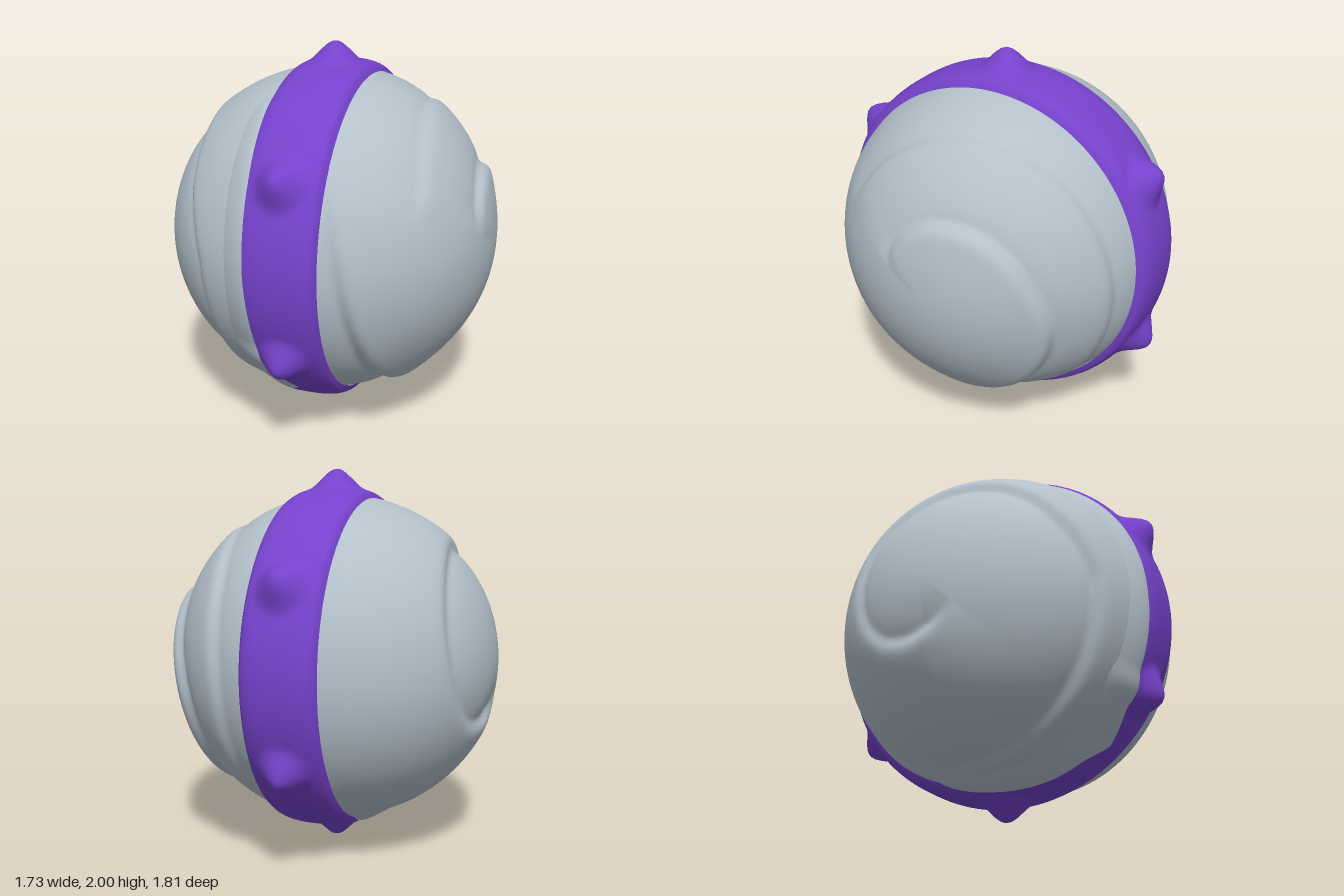
import * as THREE from 'three';
import { mergeVertices } from 'three/addons/utils/BufferGeometryUtils.js';

const DEG = Math.PI / 180;
const { smoothstep, lerp } = THREE.MathUtils;

// Surface over u (towards -x) and v (from +y round towards -z)
function grid(nu, nv, point) {
  const pos = [], index = [];
  for (let i = 0; i <= nu; i++)
    for (let j = 0; j <= nv; j++) pos.push(...point(i / nu, j / nv));
  for (let i = 0; i < nu; i++)
    for (let j = 0; j < nv; j++) {
      const a = i * (nv + 1) + j, b = a + nv + 1;
      index.push(a, a + 1, b, a + 1, b + 1, b);
    }
  const g = new THREE.BufferGeometry();
  g.setAttribute('position', new THREE.Float32BufferAttribute(pos, 3));
  g.setIndex(index);
  const merged = mergeVertices(g, 1e-5);
  merged.computeVertexNormals();
  return merged;
}

// Point at distance R from the x axis, a degrees round from the top
const around = (x, R, a) => [x, 1 + R * Math.cos(a * DEG), -R * Math.sin(a * DEG)];

// Interpolates rows [angle, value, ...]; null outside their range
function sample(rows, a, col = 1) {
  for (let i = 1; i < rows.length; i++) {
    const p = rows[i - 1], q = rows[i];
    if (a >= p[0] && a <= q[0]) return lerp(p[col], q[col], (a - p[0]) / (q[0] - p[0]));
  }
  return null;
}

// Whorl steps: [angle round the axis, angle from the pole, height]
// Positive heights raise the side towards the pole, negative ones the outer side
const leftWhorls = [
  [[-60, 15, 0], [-40, 19, 0.5], [15, 27, 0.8], [78, 37, 0.8], [105, 45, 0.8], [150, 53, 0.9],
    [192, 60, 0.9], [244, 66, 0.8], [272, 70, 0.6], [310, 77, 0]],
  [[-65, 45, 0], [-50, 46, 0.4], [0, 54, 0.35], [50, 62, 0.5], [90, 66, 0.5], [115, 68, 0.4],
    [150, 73, 0]],
];
const rightWhorls = [
  [[-240, 76, 0], [-180, 67, -0.3], [-120, 61, -0.6], [-90, 58, -0.7], [-60, 50, -0.7],
    [0, 44, -0.7], [60, 35, -0.5], [90, 30, -0.4], [135, 25, -0.5], [180, 18, -0.8], [225, 14, 0]],
];

// Step with a narrow groove along each whorl line
function whorlOffset(theta, a) {
  const fromPole = theta < 90 ? theta : 180 - theta;
  let sum = 0;
  for (const rows of theta < 90 ? leftWhorls : rightWhorls)
    for (const turn of [-360, 0, 360]) {
      const line = sample(rows, a + turn);
      if (line === null) continue;
      const d = (line - fromPole) * DEG, height = sample(rows, a + turn, 2);
      const fade = height < 0 && d < 0 ? 0.4 : 0.17;
      sum += 0.033 * height * Math.tanh(d / 0.03) * Math.exp(-Math.abs(d) / fade);
      sum -= 0.012 * Math.abs(height) * Math.exp(-((d / 0.05) ** 2));
    }
  return sum * smoothstep(90 - fromPole, 3, 14) * smoothstep(fromPole, 0, 12);
}

// Band radius: rounded section with six blunt knobs
const HALF = 0.2;
function bandRadius(x, a) {
  const t = Math.min(1, Math.abs(x) / HALF);
  const round = 0.9 * (a - 60 * Math.round(a / 60)) * DEG;
  const d = Math.hypot(round, x);
  return 0.84 + 0.063 * Math.sqrt(1 - t ** 3) + 0.097 * (1 - smoothstep(d, 0.0, 0.155));
}

// Uneven edge on one side, where the shell overlaps the band low at the front
const edgeRows = [[-200, -0.2], [-180, -0.16], [-160, -0.09], [-148, -0.07], [-140, 0],
  [-128, -0.09], [-115, -0.13], [-90, -0.16], [-60, -0.17], [-25, -0.2]];
const bandEdge = (a) => sample(edgeRows, a) ?? -HALF;

export function createModel() {
  const model = new THREE.Group();
  model.name = 'spiralShell';
  const grey = new THREE.MeshStandardMaterial({ color: 0xb3c0ca });
  grey.name = 'shellGrey';
  const purple = new THREE.MeshStandardMaterial({ color: 0x7642cc });
  purple.name = 'bandPurple';

  const add = (name, geometry, material) => {
    const mesh = new THREE.Mesh(geometry, material);
    mesh.name = name;
    model.add(mesh);
  };

  // Round shell with spiral whorls on both sides
  add('shell', grid(160, 160, (u, v) => {
    const theta = 180 * u, a = 360 * v - 200;
    const r = 0.865 + whorlOffset(theta, a);
    return around(r * Math.cos(theta * DEG), r * Math.sin(theta * DEG), a);
  }), grey);

  // Knobbed band round the middle
  add('knobbedBand', grid(28, 240, (u, v) => {
    const a = 360 * v - 200;
    const x = lerp(HALF, bandEdge(a), u);
    return around(x, bandRadius(x, a), a);
  }), purple);

  // Shell lip that overlaps the band and slopes down into the shell
  add('shellLip', grid(14, 120, (u, v) => {
    const a = -200 + 175 * v;
    const edge = bandEdge(a);
    return around(lerp(edge, -0.34, u), lerp(bandRadius(edge, a), 0.785, u ** 1.5), a);
  }), grey);

  return model;
}
